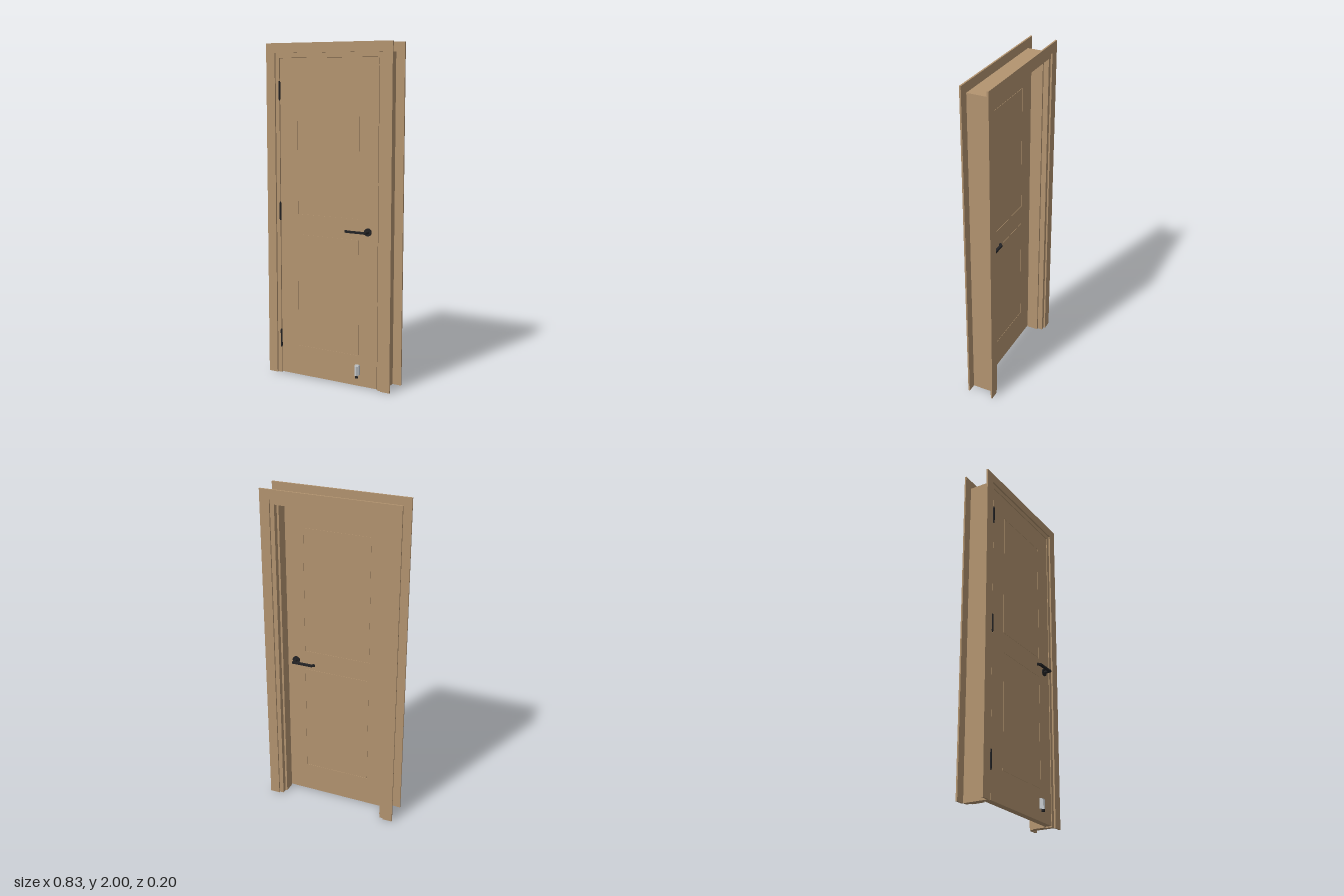
import * as THREE from 'three';

const wood = new THREE.MeshStandardMaterial({ color: 0xb39470 });
wood.name = 'wood';
const black = new THREE.MeshStandardMaterial({ color: 0x232325 });
black.name = 'black metal';
const steel = new THREE.MeshStandardMaterial({ color: 0xc6cacd });
steel.name = 'light steel';

function add(parent, name, geometry, material, x = 0, y = 0, z = 0) {
  const mesh = new THREE.Mesh(geometry, material);
  mesh.name = name;
  mesh.position.set(x, y, z);
  parent.add(mesh);
  return mesh;
}

// Box given by its limits on each axis
function block(parent, name, material, x0, x1, y0, y1, z0, z1) {
  return add(parent, name, new THREE.BoxGeometry(x1 - x0, y1 - y0, z1 - z0), material,
    (x0 + x1) / 2, (y0 + y1) / 2, (z0 + z1) / 2);
}

function polygon(points) {
  return new THREE.Shape(points.map(([x, y]) => new THREE.Vector2(x, y)));
}

function plate(shape, depth) {
  return new THREE.ExtrudeGeometry(shape, { depth, bevelEnabled: false });
}

const OUT = 0.414, IN = 0.355, TOP = 2, IN_TOP = 1.943;
const DOOR_X = 0.326, DOOR_Y0 = 0.006, DOOR_Y1 = 1.911, BACK = 0.01, FRONT = 0.05;
const PANELS = [[0.19, 0.88], [1.0, 1.77]];

// Mitred casing around the opening
function casing(name, z) {
  const g = new THREE.Group();
  g.name = name;
  const depth = 0.01;
  add(g, 'casingRight', plate(polygon([[-OUT, 0], [-IN, 0], [-IN, IN_TOP], [-OUT, TOP]]), depth), wood);
  add(g, 'casingLeft', plate(polygon([[IN, 0], [OUT, 0], [OUT, TOP], [IN, IN_TOP]]), depth), wood);
  add(g, 'casingHead', plate(polygon([[-IN, IN_TOP], [IN, IN_TOP], [OUT, TOP], [-OUT, TOP]]), depth), wood);
  g.position.z = z;
  return g;
}

// Jambs, header and the stop strips the leaf closes against
function frame() {
  const g = new THREE.Group();
  g.name = 'frame';
  for (const s of [-1, 1]) {
    const side = s < 0 ? 'Right' : 'Left';
    const span = (a, b) => (s < 0 ? [-b, -a] : [a, b]);
    block(g, 'jamb' + side, wood, ...span(0.33, 0.36), 0, 1.945, -0.093, 0.052);
    block(g, 'stop' + side, wood, ...span(0.318, 0.33), 0, 1.915, -0.062, BACK - 0.001);
  }
  block(g, 'header', wood, -0.33, 0.33, 1.915, 1.945, -0.093, 0.052);
  block(g, 'stopHead', wood, -0.318, 0.318, 1.903, 1.915, -0.062, BACK - 0.001);
  return g;
}

// Door leaf: core with a skin on both faces, narrow grooves around the panels
function leaf() {
  const g = new THREE.Group();
  g.name = 'doorLeaf';
  const skin = 0.002, groove = 0.003, px = 0.206;
  block(g, 'leafCore', wood, -DOOR_X, DOOR_X, DOOR_Y0, DOOR_Y1, BACK + skin, FRONT - skin);
  const shape = polygon([[-DOOR_X, DOOR_Y0], [DOOR_X, DOOR_Y0], [DOOR_X, DOOR_Y1], [-DOOR_X, DOOR_Y1]]);
  for (const [y0, y1] of PANELS) {
    shape.holes.push(new THREE.Path([[-px, y0], [-px, y1], [px, y1], [px, y0]]
      .map(([x, y]) => new THREE.Vector2(x, y))));
  }
  for (const z of [BACK, FRONT - skin]) {
    add(g, 'leafSkin', plate(shape, skin), wood, 0, 0, z);
    for (const [y0, y1] of PANELS) {
      block(g, 'panel', wood, -px + groove, px - groove, y0 + groove, y1 - groove, z, z + skin);
    }
  }
  return g;
}

// Lever handle built towards +z from the leaf face
function handle(name) {
  const g = new THREE.Group();
  g.name = name;
  const rod = (r, len) => new THREE.CylinderGeometry(r, r, len, 24).rotateX(Math.PI / 2);
  add(g, 'rose', rod(0.023, 0.008), black, 0, 0, 0.004);
  add(g, 'neck', rod(0.009, 0.044), black, 0, 0, 0.026);
  const lever = polygon([[0.004, 0.034], [0.004, 0.049], [-0.118, 0.049], [-0.136, 0.034],
    [-0.127, 0.024], [-0.112, 0.034]]);
  const geometry = plate(lever, 0.012).rotateX(Math.PI / 2).translate(0, 0.006, 0);
  add(g, 'lever', geometry, black);
  return g;
}

// Hinge knuckle with end caps
function hinge(y) {
  const g = new THREE.Group();
  g.name = 'hinge';
  add(g, 'knuckle', new THREE.CylinderGeometry(0.006, 0.006, 0.1, 16), black);
  for (const s of [-1, 1]) {
    add(g, 'hingeCap', new THREE.CylinderGeometry(0.004, 0.004, 0.006, 16), black, 0, s * 0.053, 0);
  }
  g.position.set(-0.329, y, 0.053);
  return g;
}

// Foot-operated holder near the bottom of the leaf
function holder() {
  const g = new THREE.Group();
  g.name = 'doorHolder';
  block(g, 'holderPlate', steel, -0.013, 0.013, 0.075, 0.135, FRONT, 0.066);
  block(g, 'holderArm', steel, -0.01, 0.01, 0.072, 0.13, 0.066, 0.073);
  add(g, 'holderPin', new THREE.CylinderGeometry(0.006, 0.006, 0.055, 16), steel, 0, 0.1, 0.071);
  add(g, 'holderFoot', new THREE.CylinderGeometry(0.01, 0.01, 0.014, 20), black, 0, 0.066, 0.067);
  g.position.x = 0.202;
  return g;
}

export function createModel() {
  const model = new THREE.Group();
  model.name = 'door';
  model.add(frame(), leaf(), holder());
  model.add(casing('frontCasing', 0.052), casing('backCasing', -0.103));
  for (const y of [1.725, 1.01, 0.22]) model.add(hinge(y));

  const front = handle('frontHandle');
  front.position.set(0.264, 0.93, FRONT);
  const back = handle('backHandle');
  back.position.set(0.264, 0.93, BACK);
  back.rotation.x = Math.PI;
  model.add(front, back);
  return model;
}
